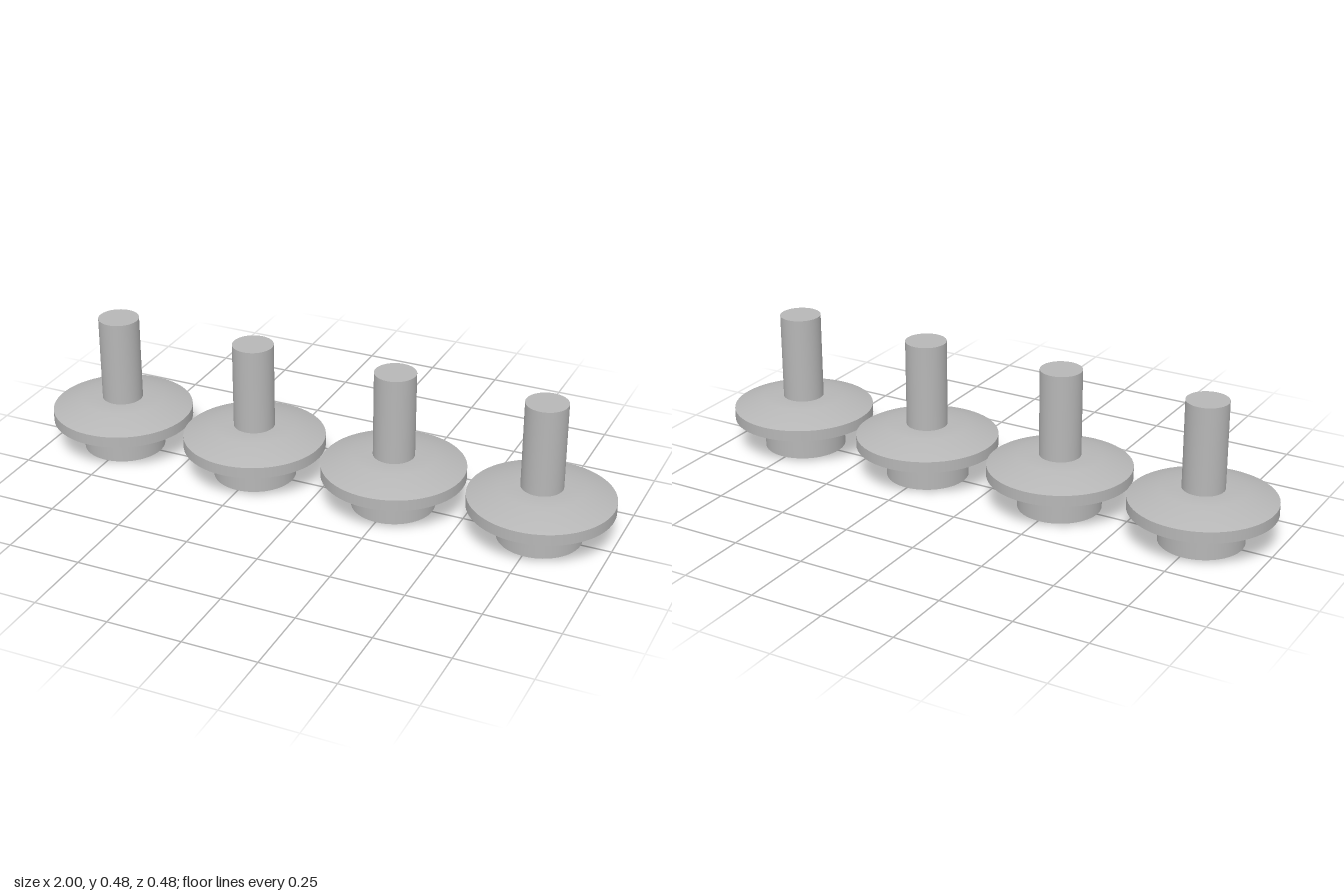
import * as THREE from 'three';

const SEGMENTS = 64;

export function createModel() {
  const model = new THREE.Group();
  model.name = 'flangedPegRow';
  const grey = new THREE.MeshStandardMaterial({ color: 0xb6b6b6 });
  grey.name = 'plain grey';

  // Upright cylinder standing between two heights
  const cylinder = (radius, y0, y1) =>
    new THREE.CylinderGeometry(radius, radius, y1 - y0, SEGMENTS).translate(0, (y0 + y1) / 2, 0);

  // Profile runs upwards and inwards, so faces point outwards
  const lathe = (points) =>
    new THREE.LatheGeometry(points.map(([r, y]) => new THREE.Vector2(r, y)), SEGMENTS);

  const parts = {
    base: cylinder(0.139, 0, 0.11),
    flangeUnderside: lathe([[0.139, 0.109], [0.24, 0.109]]),
    flangeRim: lathe([[0.24, 0.109], [0.24, 0.147]]),
    // Sloped shoulder blending softly into the flat top
    flangeTop: lathe([[0.24, 0.147], [0.139, 0.184], [0.069, 0.184]]),
    shaft: cylinder(0.069, 0.18, 0.479),
  };

  // Four identical pegs in a row
  for (let i = 0; i < 4; i++) {
    const peg = new THREE.Group();
    peg.name = `peg${i + 1}`;
    peg.position.x = -0.76 + (i * 1.52) / 3;
    for (const [name, geometry] of Object.entries(parts)) {
      const mesh = new THREE.Mesh(geometry, grey);
      mesh.name = name;
      peg.add(mesh);
    }
    model.add(peg);
  }
  return model;
}
